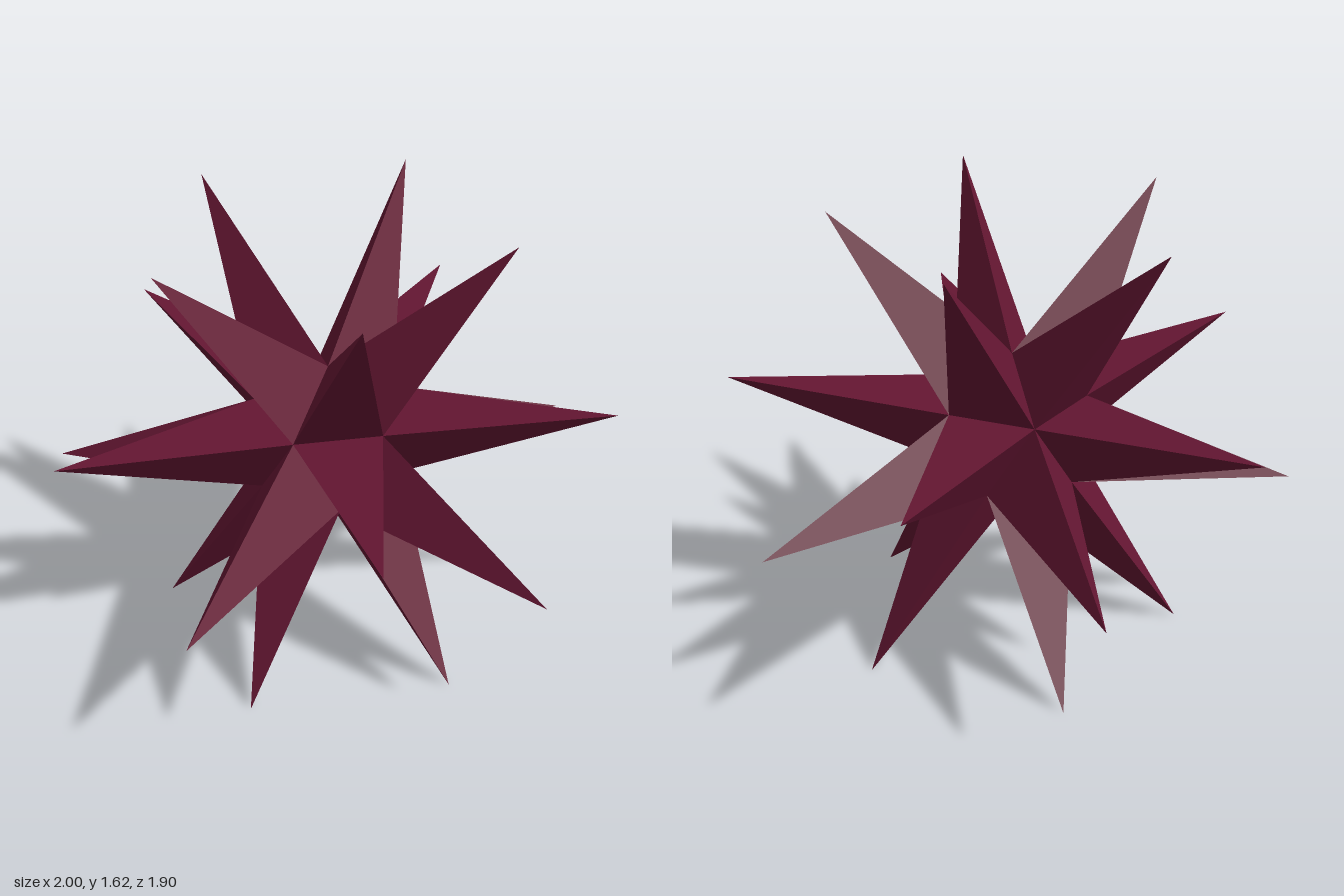
import * as THREE from 'three';

const CENTER_Y = 0.809;     // height of the star's centre
const CORE_RADIUS = 0.295;  // icosahedral core, where the spikes meet
const TIP_RADIUS = 1.0184;  // centre to spike tip

// Core corner from its height (in core radii) and its angle around y
function corner(height, degrees) {
  const a = THREE.MathUtils.degToRad(degrees);
  const r = Math.sqrt(1 - height * height);
  return new THREE.Vector3(r * Math.cos(a), height, r * Math.sin(a)).multiplyScalar(CORE_RADIUS);
}

// Three-sided spike standing on one core face
function spikeGeometry(a, b, c) {
  const tip = a.clone().add(b).add(c).setLength(TIP_RADIUS);
  // keep the corners counter-clockwise seen from outside
  if (a.dot(b.clone().cross(c)) < 0) [b, c] = [c, b];
  const points = [a, b, tip, b, c, tip, c, a, tip];
  const geometry = new THREE.BufferGeometry().setFromPoints(points);
  geometry.computeVertexNormals();
  return geometry;
}

export function createModel() {
  const model = new THREE.Group();
  model.name = 'spikedStar';
  const material = new THREE.MeshStandardMaterial({ color: 0x641632, flatShading: true });

  const h = 1 / Math.sqrt(5);
  const top = corner(1, 0);
  const bottom = corner(-1, 0);
  const upper = (i) => corner(h, 72 * i);
  const lower = (i) => corner(-h, 72 * i + 36);

  // Four rings of five spikes
  for (let i = 0; i < 5; i++) {
    const faces = {
      topSpike: [top, upper(i), upper(i + 1)],
      upperSpike: [upper(i), upper(i + 1), lower(i)],
      lowerSpike: [lower(i), lower(i + 1), upper(i + 1)],
      bottomSpike: [bottom, lower(i), lower(i + 1)],
    };
    for (const [name, face] of Object.entries(faces)) {
      const spike = new THREE.Mesh(spikeGeometry(...face), material);
      spike.name = `${name}${i + 1}`;
      spike.position.y = CENTER_Y;
      model.add(spike);
    }
  }
  return model;
}
